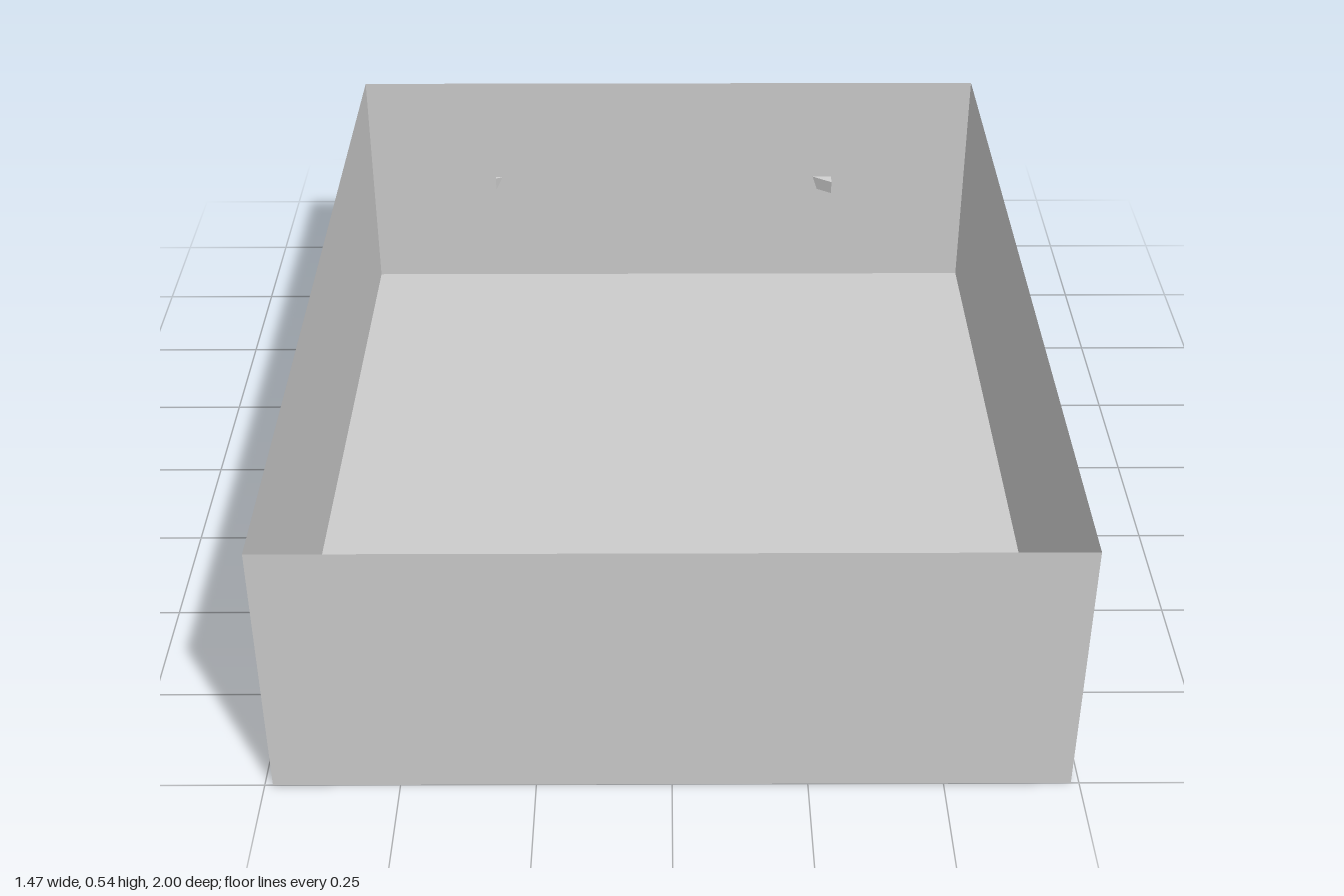
import * as THREE from 'three';

const W = 1.47, H = 0.535, Z0 = -0.86, Z1 = 1;
const D = Z1 - Z0, ZC = (Z0 + Z1) / 2;

export function createModel() {
  const model = new THREE.Group();
  const sheet = new THREE.MeshStandardMaterial({ color: 0xcccccc, side: THREE.DoubleSide });
  const solid = new THREE.MeshStandardMaterial({ color: 0xcccccc });

  // Open tray made of thin sheets
  const panel = (name, w, h, pos, rx, ry) => {
    const mesh = new THREE.Mesh(new THREE.PlaneGeometry(w, h), sheet);
    mesh.name = name;
    mesh.position.set(...pos);
    mesh.rotation.set(rx, ry, 0);
    model.add(mesh);
  };
  panel('floor', W, D, [0, 0, ZC], -Math.PI / 2, 0);
  panel('frontWall', W, H, [0, H / 2, Z1], 0, 0);
  panel('backWall', W, H, [0, H / 2, Z0], 0, Math.PI);
  panel('leftWall', D, H, [W / 2, H / 2, ZC], 0, Math.PI / 2);
  panel('rightWall', D, H, [-W / 2, H / 2, ZC], 0, -Math.PI / 2);

  // Bowed pull handle, tilted upwards away from the back wall
  const handle = new THREE.Group();
  handle.name = 'handle';
  handle.position.set(0, 0.262, Z0);
  handle.rotation.x = 0.17;
  model.add(handle);

  // Each point is x and distance out from the wall
  const path = new THREE.CatmullRomCurve3([
    [-0.422, 0.03], [-0.36, 0.058], [-0.27, 0.084], [-0.14, 0.108], [-0.01, 0.123],
    [0.13, 0.108], [0.26, 0.078], [0.35, 0.047], [0.4, 0.022],
  ].map(([x, out]) => new THREE.Vector3(x, 0, -out)));
  const grip = new THREE.Mesh(new THREE.TubeGeometry(path, 40, 0.018, 12), sheet);
  grip.name = 'grip';
  handle.add(grip);

  // Wedge feet that fix the grip to the wall and just poke through it
  const foot = (name, outline) => {
    const shape = new THREE.Shape(outline.map(([x, out]) => new THREE.Vector2(x, out)));
    const geo = new THREE.ExtrudeGeometry(shape, { depth: 0.034, bevelEnabled: false });
    geo.translate(0, 0, -0.017).rotateX(-Math.PI / 2);
    const mesh = new THREE.Mesh(geo, solid);
    mesh.name = name;
    handle.add(mesh);
  };
  foot('rightFoot', [[-0.43, -0.003], [-0.35, 0.026], [-0.35, 0.05], [-0.43, 0.044]]);
  foot('leftFoot', [[0.405, -0.02], [0.405, 0.03], [0.335, 0.045], [0.335, 0.015]]);

  return model;
}
